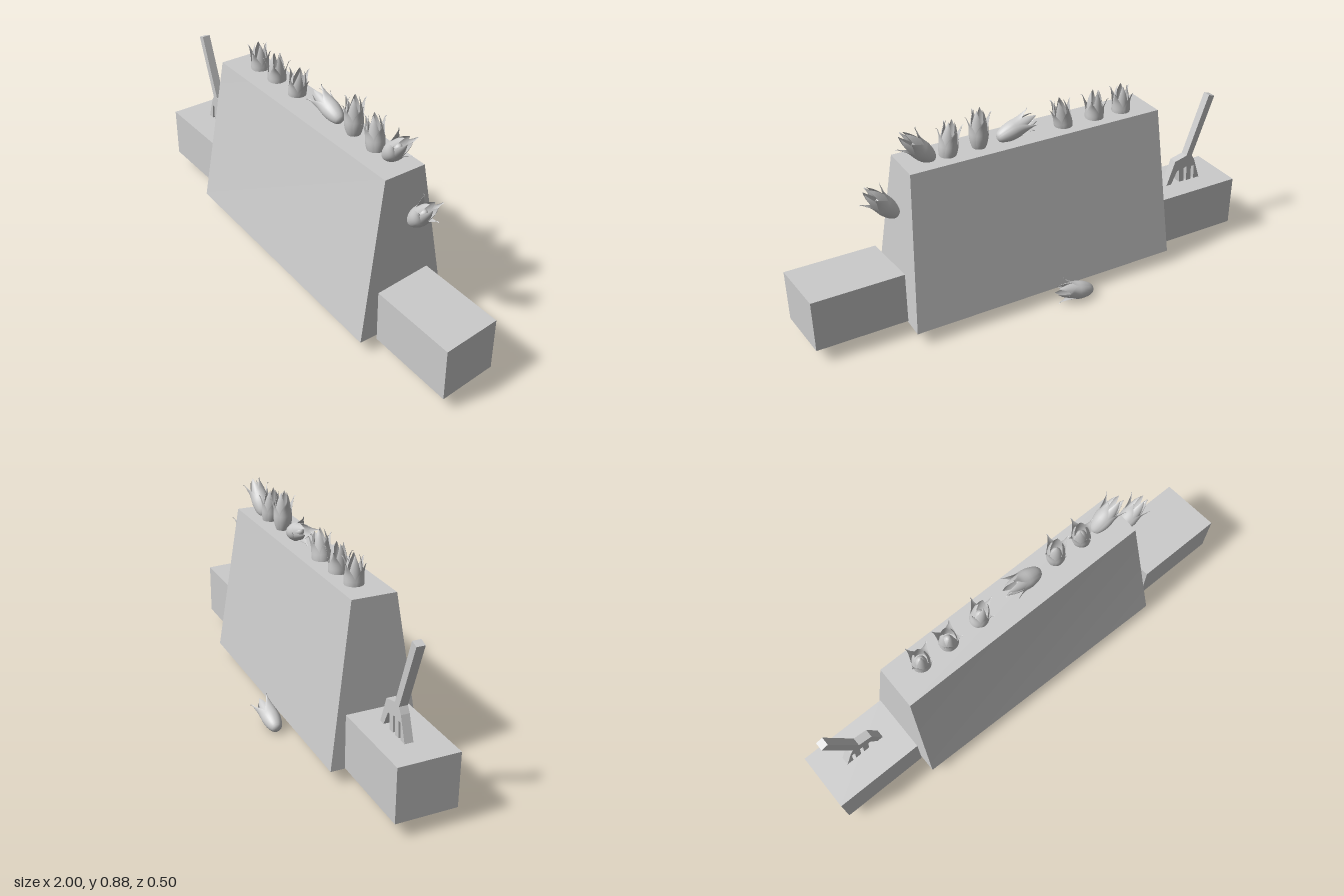
import * as THREE from 'three';

const mat = new THREE.MeshStandardMaterial({ color: 0xcccccc });
const petalMat = new THREE.MeshStandardMaterial({ color: 0xcccccc, side: THREE.DoubleSide });

function mesh(name, geometry, material = mat) {
  const m = new THREE.Mesh(geometry, material);
  m.name = name;
  return m;
}

// Box whose corners are placed by a rule of (sx, sy, sz), each -1 or 1
function cornerBox(name, rule) {
  const g = new THREE.BoxGeometry(2, 2, 2);
  const p = g.attributes.position;
  for (let i = 0; i < p.count; i++) p.setXYZ(i, ...rule(p.getX(i), p.getY(i), p.getZ(i)));
  g.computeVertexNormals();
  return mesh(name, g);
}

// Petal: a strip wrapped round the flower axis; each profile point is [radius, height, half angle]
function petalGeometry(profile) {
  const curve = new THREE.CatmullRomCurve3(profile.map(p => new THREE.Vector3(...p)));
  const g = new THREE.PlaneGeometry(2, 1, 8, 20);
  const p = g.attributes.position;
  for (let i = 0; i < p.count; i++) {
    const u = p.getX(i);
    const c = curve.getPoint(p.getY(i) + 0.5);
    const a = u * Math.max(c.z, 0.02);
    const r = Math.max(c.x, 0) * (1 - 0.04 * u * u);
    p.setXYZ(i, r * Math.sin(a), c.y, r * Math.cos(a));
  }
  g.computeVertexNormals();
  return g;
}

const outerPetal = petalGeometry([
  [0, 0, 0.95], [0.1, 0.03, 0.95], [0.17, 0.15, 0.95], [0.215, 0.35, 0.92], [0.215, 0.52, 0.75],
  [0.225, 0.65, 0.42], [0.265, 0.77, 0.14], [0.3, 0.86, 0.05], [0.33, 0.88, 0.04],
]);
const innerPetal = petalGeometry([
  [0, 0.02, 0.85], [0.14, 0.15, 0.85], [0.195, 0.4, 0.85], [0.185, 0.62, 0.75],
  [0.155, 0.82, 0.5], [0.12, 0.94, 0.25], [0.1, 1, 0.05],
]);

// Flower, one unit tall, opening along +y
function flower(name) {
  const g = new THREE.Group();
  g.name = name;
  for (let i = 0; i < 4; i++) {
    const outer = mesh('outerPetal', outerPetal, petalMat);
    outer.rotation.y = i * Math.PI / 2;
    const inner = mesh('innerPetal', innerPetal, petalMat);
    inner.rotation.y = (i + 0.5) * Math.PI / 2;
    g.add(outer, inner);
  }
  const heart = mesh('flowerHeart', new THREE.SphereGeometry(0.13, 16, 12));
  heart.scale.y = 2;
  heart.position.y = 0.4;
  g.add(heart);
  return g;
}

// Garden fork: flat outline with a long leaning handle and four tines
function fork() {
  const outline = [
    [-0.925, 0.685], [-0.895, 0.695], [-0.8, 0.42], [-0.74, 0.405], [-0.7, 0.29],
    [-0.725, 0.29], [-0.755, 0.355], [-0.765, 0.355], [-0.77, 0.295], [-0.795, 0.295],
    [-0.79, 0.36], [-0.805, 0.365], [-0.81, 0.29], [-0.835, 0.29], [-0.83, 0.36],
    [-0.845, 0.36], [-0.85, 0.29], [-0.88, 0.29], [-0.845, 0.39], [-0.83, 0.415],
  ];
  const shape = new THREE.Shape(outline.map(p => new THREE.Vector2(...p)));
  const g = new THREE.ExtrudeGeometry(shape, { depth: 0.035, bevelEnabled: false });
  g.translate(0, 0, -0.005);
  return mesh('gardenFork', g);
}

export function createModel() {
  const model = new THREE.Group();
  model.name = 'flowerPlanter';

  // Tapered main block
  model.add(cornerBox('mainBlock', (x, y, z) => y > 0
    ? [x > 0 ? 0.545 : -0.575, 0.725, z > 0 ? 0.115 : -0.067]
    : [x > 0 ? 0.595 : -0.612, 0.063, z > 0 ? (x > 0 ? 0.247 : 0.22) : -0.157]));

  // Side blocks; the one on the left is slightly sheared
  model.add(cornerBox('rightSideBlock', (x, y, z) =>
    [x > 0 ? -0.615 : -1, y > 0 ? 0.293 : 0.068, z > 0 ? 0.15 : -0.1]));
  model.add(cornerBox('leftSideBlock', (x, y, z) =>
    [(x > 0 ? 0.989 : 0.605) + z * 0.011, y > 0 ? 0.292 : 0.067, z > 0 ? 0.186 : -0.064]));

  model.add(fork());

  // Flowers: base x, y, z, lean about z, spin about the stem
  const flowers = [
    [-0.44, 0.66, 0.01, 0, 0.45], [-0.31, 0.66, 0.01, 0, 0.75], [-0.175, 0.665, 0.01, -0.2, 0.2],
    [0.14, 0.737, 0.01, 1.25, 0], [0.22, 0.705, 0.01, 0, 0], [0.36, 0.685, 0.01, 0.12, 0],
    [0.415, 0.72, 0.01, -0.75, 0], [0.578, 0.52, 0.012, -0.7, 0], [-0.195, 0.028, -0.195, -1.3, 0.15],
  ];
  flowers.forEach(([x, y, z, lean, spin], i) => {
    const f = flower('flower' + (i + 1));
    f.position.set(x, y, z);
    f.rotation.set(0, spin, lean, 'ZYX');
    f.scale.setScalar(0.18);
    model.add(f);
  });
  return model;
}
